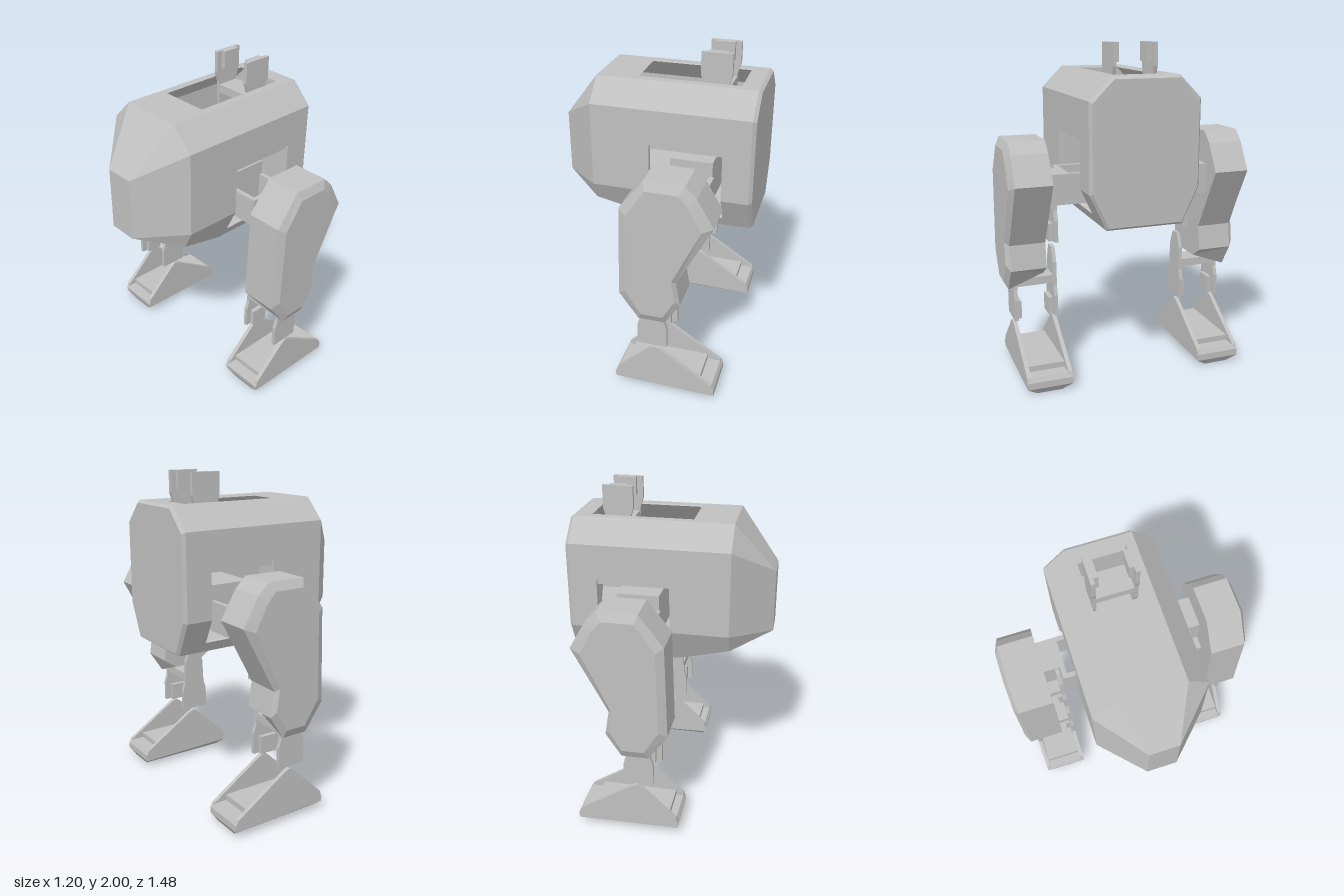
import * as THREE from 'three';
import { ConvexGeometry } from 'three/addons/geometries/ConvexGeometry.js';

const grey = new THREE.MeshStandardMaterial({ color: 0xc0c0c0 });
grey.name = 'plain grey';

const V = (x, y, z) => new THREE.Vector3(x, y, z);

function add(parent, geometry, name) {
  const mesh = new THREE.Mesh(geometry, grey);
  mesh.name = name;
  parent.add(mesh);
  return mesh;
}

// Box given by its limits on each axis
function block(parent, name, [x0, x1], [y0, y1], [z0, z1]) {
  const g = new THREE.BoxGeometry(x1 - x0, y1 - y0, z1 - z0);
  g.translate((x0 + x1) / 2, (y0 + y1) / 2, (z0 + z1) / 2);
  return add(parent, g, name);
}

// Side-view outline extruded from z0 to z1
function plate(parent, name, outline, z0, z1) {
  const shape = new THREE.Shape(outline.map(([x, y]) => new THREE.Vector2(x, y)));
  const g = new THREE.ExtrudeGeometry(shape, { depth: z1 - z0, bevelEnabled: false });
  return add(parent, g.translate(0, 0, z0), name);
}

// Flat wall of the hull, thickened inwards, with an optional opening
function wall(parent, name, corners, hole) {
  const u = corners[1].clone().sub(corners[0]).normalize();
  const n = u.clone().cross(corners[2].clone().sub(corners[1])).normalize();
  if (n.dot(corners[0].clone().sub(V(0.1, 1.4, 0))) < 0) n.negate();
  const v = n.clone().cross(u);
  const flat = (p) => {
    const d = p.clone().sub(corners[0]);
    return new THREE.Vector2(d.dot(u), d.dot(v));
  };
  const shape = new THREE.Shape(corners.map(flat));
  if (hole) shape.holes.push(new THREE.Path(hole.map(flat)));
  const g = new THREE.ExtrudeGeometry(shape, { depth: 0.025, bevelEnabled: false });
  g.translate(0, 0, -0.025);
  g.applyMatrix4(new THREE.Matrix4().makeBasis(u, v, n).setPosition(corners[0]));
  return add(parent, g, name);
}

// Solid through rings of [x, y, z], counter-clockwise seen from +z, ordered back to front
function loft(rings) {
  const pos = [];
  const tri = (a, b, c) => pos.push(...a, ...b, ...c);
  const n = rings[0].length;
  for (let r = 0; r + 1 < rings.length; r++) {
    for (let i = 0; i < n; i++) {
      const j = (i + 1) % n;
      const [a, b, c, d] = [rings[r][i], rings[r][j], rings[r + 1][j], rings[r + 1][i]];
      tri(a, b, c);
      tri(a, c, d);
    }
  }
  const last = rings[rings.length - 1];
  const caps = THREE.ShapeUtils.triangulateShape(last.map(([x, y]) => new THREE.Vector2(x, y)), []);
  for (const [a, b, c] of caps) {
    tri(last[a], last[b], last[c]);
    tri(rings[0][a], rings[0][c], rings[0][b]);
  }
  const g = new THREE.BufferGeometry();
  g.setAttribute('position', new THREE.Float32BufferAttribute(pos, 3));
  g.computeVertexNormals();
  return g;
}

// U-shaped joint bracket, open end down at y = 0
function bracket(parent, name, x, y, z, flip = 1) {
  const g = new THREE.Group();
  g.name = name;
  const side = [[-0.09, 0], [0.09, 0], [0.09, 0.13], [0.072, 0.19], [0.065, 0.34],
    [0.03, 0.43], [-0.03, 0.43], [-0.065, 0.34], [-0.072, 0.19], [-0.09, 0.13]];
  for (const s of [-1, 1]) {
    const m = (a, b) => (s > 0 ? [a, b] : [-b, -a]);
    plate(g, 'bracketSide', side, ...m(0.112, 0.135));
    block(g, 'bracketTab', [-0.055, 0.055], [0, 0.11], m(0.085, 0.112));
  }
  block(g, 'bracketBar', [-0.07, 0.07], [0.21, 0.26], [-0.112, 0.112]);
  g.position.set(x, y, z);
  if (flip < 0) g.rotation.x = Math.PI;
  parent.add(g);
}

function buildBody() {
  const body = new THREE.Group();
  body.name = 'body';
  const F = 0.58, R = -0.36, K = -0.05;

  // Top and bottom walls
  wall(body, 'roof', [V(R, 1.83, -0.2), V(F, 1.83, -0.2), V(F, 1.83, 0.2), V(R, 1.83, 0.2)],
    [V(-0.12, 1.83, -0.15), V(0.48, 1.83, -0.15), V(0.48, 1.83, 0.15), V(-0.12, 1.83, 0.15)]);
  wall(body, 'belly', [V(K, 0.98, -0.23), V(F, 0.98, -0.23), V(F, 0.98, 0.23), V(K, 0.98, 0.23)]);
  wall(body, 'rearBelly',
    [V(K, 0.98, -0.23), V(K, 0.98, 0.23), V(R, 1.076, 0.276), V(R, 1.076, -0.276)]);

  // Side walls with the hip opening notched into them
  for (const s of [-1, 1]) {
    const z = 0.33 * s;
    wall(body, 'shoulderWall', [V(R, 1.83, 0.2 * s), V(F, 1.83, 0.2 * s), V(F, 1.7, z), V(R, 1.7, z)]);
    wall(body, 'sideWall', [V(R, 1.7, z), V(F, 1.7, z), V(F, 1.19, z), V(0.42, 1.19, z),
      V(0.42, 1.49, z), V(-0.01, 1.49, z), V(-0.01, 1.19, z), V(R, 1.19, z)]);
    const zn = 0.2586 * s;
    wall(body, 'lowerWall', [V(R, 1.19, z), V(-0.01, 1.19, z), V(-0.01, 1.04, zn), V(0.42, 1.04, zn),
      V(0.42, 1.19, z), V(F, 1.19, z), V(F, 0.98, 0.23 * s), V(K, 0.98, 0.23 * s),
      V(R, 1.076, 0.276 * s)]);
  }

  // Front cap with a fine chamfer, and tapered rear cap
  const front = [], rear = [];
  for (const s of [-1, 1]) {
    for (const [y, z] of [[1.83, 0.2], [1.7, 0.33], [1.19, 0.33], [0.98, 0.23]]) {
      front.push(V(F, y, z * s), V(0.6, 1.405 + (y - 1.405) * 0.965, z * s * 0.955));
    }
    for (const [y, z] of [[1.83, 0.2], [1.7, 0.33], [1.19, 0.33], [1.076, 0.276]]) {
      rear.push(V(R, y, z * s));
    }
    rear.push(V(-0.6, 1.53, 0.09 * s), V(-0.6, 1.15, 0.09 * s));
  }
  add(body, new ConvexGeometry(front), 'frontCap');
  add(body, new ConvexGeometry(rear), 'rearCap');

  // Inner deck, hip mechanism and the bracket standing out of the roof
  block(body, 'innerDeck', [R, F], [1.46, 1.49], [-0.31, 0.31]);
  block(body, 'hipHousing', [0.08, 0.34], [1.1, 1.36], [-0.2, 0.2]);
  bracket(body, 'roofBracket', 0.33, 2.0, 0, -1);
  return body;
}

function buildLeg() {
  const leg = new THREE.Group();
  leg.name = 'leg';
  const cz = 0.545;

  // Hip link between hull and leg
  for (const x of [0.07, 0.32]) block(leg, 'hipArm', [x, x + 0.03], [1.09, 1.27], [0.2, 0.4]);
  block(leg, 'hipPlate', [0.07, 0.35], [1.09, 1.27], [0.37, 0.4]);
  block(leg, 'hipBlock', [0.15, 0.35], [1.09, 1.27], [0.4, 0.52]);

  // Armoured thigh cover
  const outline = [[0.08, 1.465], [-0.06, 1.28], [-0.075, 0.72], [0.04, 0.56], [0.2, 0.56],
    [0.29, 0.7], [0.265, 0.85], [0.47, 1.235], [0.375, 1.4], [0.31, 1.465]];
  const cover = loft([
    outline.map(([x, y]) => [x, Math.max(y, 0.64), 0.5]),
    outline.map(([x, y]) => [x, y, 0.715]),
    outline.map(([x, y]) => [0.16 + (x - 0.16) * 0.8, 1.02 + (y - 1.02) * 0.89, 0.74]),
  ]);
  add(leg, cover, 'thighCover');

  // Joint brackets
  bracket(leg, 'upperBracket', 0.14, 0.83, cz);
  bracket(leg, 'lowerBracket', 0.11, 0.35, cz);

  // Foot: chamfered sole with two triangular cheeks
  const foot = new THREE.Group();
  foot.name = 'foot';
  foot.position.z = cz;
  const sole = [];
  for (const s of [-1, 1]) {
    sole.push(V(-0.115, 0.105, 0.125 * s), V(0.48, 0.105, 0.125 * s));
    sole.push(V(-0.13, 0.08, 0.137 * s), V(0.495, 0.08, 0.137 * s));
    sole.push(V(-0.125, 0.05, 0.137 * s), V(0.495, 0.04, 0.137 * s));
    sole.push(V(-0.1, 0, 0.075 * s), V(0.47, 0, 0.075 * s));
  }
  add(foot, new ConvexGeometry(sole), 'sole');
  block(foot, 'footDeck', [-0.07, 0.4], [0.09, 0.14], [-0.115, 0.115]);
  const cheek = [[-0.13, 0.07], [0.495, 0.07], [0.48, 0.11], [0.15, 0.325], [0.12, 0.335],
    [0.09, 0.315], [-0.115, 0.12]];
  plate(foot, 'footCheek', cheek, 0.112, 0.137);
  plate(foot, 'footCheek', cheek, -0.137, -0.112);
  leg.add(foot);
  return leg;
}

// Mirror a group across z, restoring the winding of its faces
function mirrorZ(group) {
  group.updateMatrixWorld(true);
  const out = new THREE.Group();
  group.traverse((o) => {
    if (!o.isMesh) return;
    const g = o.geometry.index ? o.geometry.toNonIndexed() : o.geometry.clone();
    g.applyMatrix4(o.matrixWorld);
    const p = g.attributes.position;
    for (let i = 0; i < p.count; i += 3) {
      const t = [0, 2, 1].map((k) => [p.getX(i + k), p.getY(i + k), -p.getZ(i + k)]);
      t.forEach((c, k) => p.setXYZ(i + k, ...c));
    }
    g.computeVertexNormals();
    add(out, g, o.name);
  });
  return out;
}

export function createModel() {
  const model = new THREE.Group();
  model.name = 'walker';
  const near = buildLeg();
  const far = mirrorZ(near);
  near.name = 'rightLeg';
  far.name = 'leftLeg';
  model.add(buildBody(), near, far);
  return model;
}
